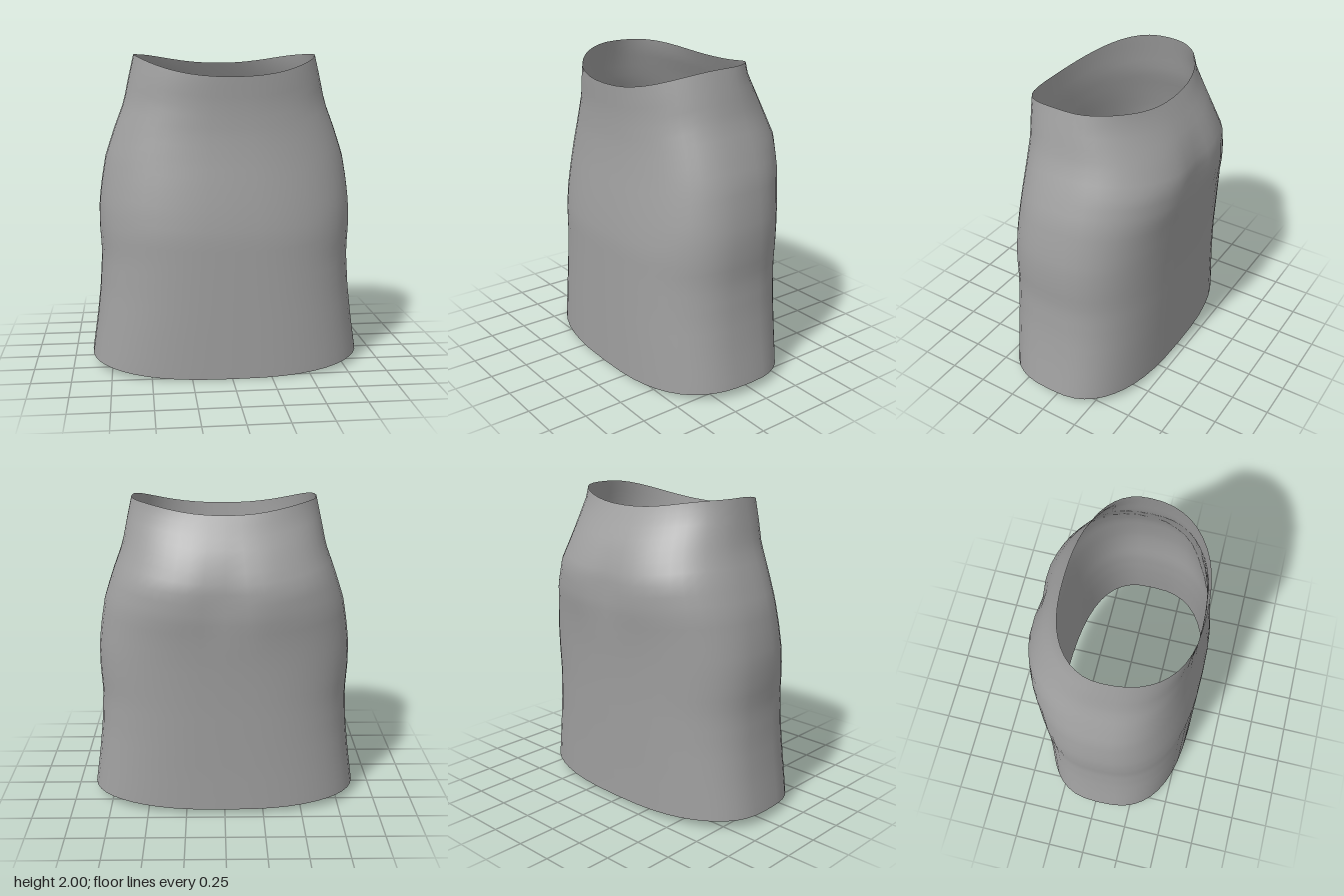
import * as THREE from 'three';

// Profiles by height: [y, half width, front z, back z, squareness of the section]
const PROFILE = [
  [0.00, 0.885, 0.550, -0.455, 2.7],
  [0.06, 0.880, 0.550, -0.456, 2.7],
  [0.30, 0.845, 0.550, -0.462, 2.7],
  [0.50, 0.822, 0.550, -0.470, 2.65],
  [0.73, 0.808, 0.550, -0.480, 2.6],
  [0.90, 0.818, 0.550, -0.490, 2.55],
  [1.05, 0.818, 0.537, -0.502, 2.5],
  [1.20, 0.800, 0.520, -0.520, 2.45],
  [1.36, 0.772, 0.500, -0.548, 2.4],
  [1.53, 0.715, 0.484, -0.550, 2.4],
  [1.70, 0.650, 0.482, -0.480, 2.35],
  [1.85, 0.618, 0.492, -0.395, 2.3],
  [1.94, 0.597, 0.495, -0.350, 2.25],
  [2.00, 0.583, 0.495, -0.345, 2.25],
];

function sample(y) {
  let i = 0;
  while (i < PROFILE.length - 2 && y > PROFILE[i + 1][0]) i++;
  const a = PROFILE[i], b = PROFILE[i + 1];
  const t = THREE.MathUtils.clamp((y - a[0]) / (b[0] - a[0]), 0, 1);
  return a.map((v, k) => THREE.MathUtils.lerp(v, b[k], t));
}

const power = (v, p) => Math.sign(v) * Math.abs(v) ** p;

function skirtGeometry(around = 48, rows = 30) {
  const positions = [], indices = [];
  for (let j = 0; j <= rows; j++) {
    const t = j / rows;
    for (let i = 0; i < around; i++) {
      const angle = (i / around) * Math.PI * 2;
      const c = Math.cos(angle), s = Math.sin(angle);
      // Hem and waistline dip at the front and a little at the back
      const hem = 0.06 - (s > 0 ? 0.06 * s * s : 0.03 * s ** 4);
      const waist = 2 - (s > 0 ? 0.128 * s * s : 0.06 * s ** 4);
      const y = THREE.MathUtils.lerp(hem, waist, t);
      const [, width, front, back, n] = sample(y);
      const middle = 0.02;
      const x = width * power(c, 2 / n);
      let z = middle + (s > 0 ? front - middle : middle - back) * power(s, 2 / n);
      // Soft hollow down the centre of the seat
      if (s < 0) z += 0.035 * Math.exp(-((x / 0.13) ** 2) - ((y - 1.47) / 0.22) ** 2);
      positions.push(x, y, z);
    }
  }
  for (let j = 0; j < rows; j++) {
    for (let i = 0; i < around; i++) {
      const a = j * around + i, b = j * around + (i + 1) % around;
      indices.push(a, a + around, b, b, a + around, b + around);
    }
  }
  const geometry = new THREE.BufferGeometry();
  geometry.setAttribute('position', new THREE.Float32BufferAttribute(positions, 3));
  geometry.setIndex(indices);
  geometry.computeVertexNormals();
  return geometry;
}

export function createModel() {
  const group = new THREE.Group();
  group.name = 'skirt';
  const cloth = new THREE.MeshStandardMaterial({ color: 0xa0a0a0, side: THREE.DoubleSide });
  cloth.name = 'grey cloth';
  // Open tube of cloth, seen from inside and outside
  const shell = new THREE.Mesh(skirtGeometry(), cloth);
  shell.name = 'skirtShell';
  group.add(shell);
  return group;
}
